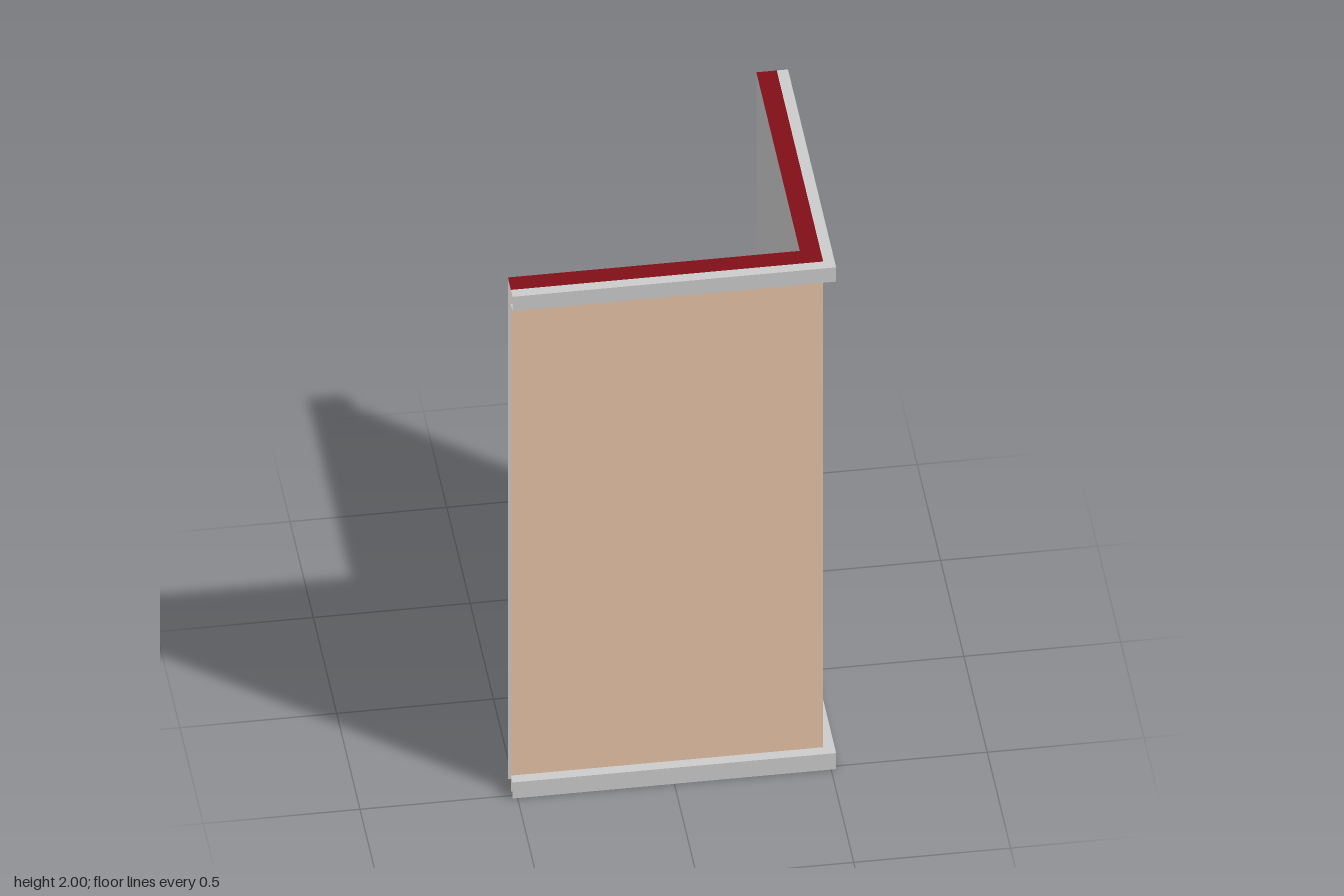
import * as THREE from 'three';

const END = 0.516;    // open ends of both wall legs, and outer face of the trim
const OUTER = 0.48;   // outer wall face
const INNER = 0.415;  // inner wall face
const TOP = 2;

// Sweeps a profile of [offset, height] points along the L-shaped plan.
// A profile running up faces outward; running inward faces up.
function sweepCorner(name, color, profile) {
  const plan = (d, y) => [[-END, y, d], [d, y, d], [d, y, -END]];
  const positions = [];
  for (let i = 0; i < profile.length - 1; i++) {
    const low = plan(...profile[i]);
    const high = plan(...profile[i + 1]);
    for (let leg = 0; leg < 2; leg++) {
      const [a, b, c, d] = [low[leg], low[leg + 1], high[leg + 1], high[leg]];
      positions.push(...a, ...b, ...c, ...a, ...c, ...d);
    }
  }
  const geometry = new THREE.BufferGeometry();
  geometry.setAttribute('position', new THREE.Float32BufferAttribute(positions, 3));
  geometry.computeVertexNormals();
  const material = new THREE.MeshStandardMaterial({ color, side: THREE.DoubleSide });
  const mesh = new THREE.Mesh(geometry, material);
  mesh.name = name;
  return mesh;
}

export function createModel() {
  const group = new THREE.Group();
  group.name = 'cornerWall';
  group.add(
    // Hollow wall: two skins closed only by the cap
    sweepCorner('outerWall', 0xe6c3a6, [[OUTER, 0], [OUTER, TOP]]),
    sweepCorner('innerWall', 0xcccccc, [[INNER, TOP], [INNER, 0]]),
    sweepCorner('wallCap', 0x800f17, [[OUTER, TOP], [INNER, TOP]]),
    // Cornice: underside, face and top ledge
    sweepCorner('topTrim', 0xcccccc,
      [[OUTER, 1.943], [END, 1.943], [END, TOP], [OUTER, TOP]]),
    // Skirting: face and top ledge, open underneath
    sweepCorner('bottomTrim', 0xcccccc, [[END, 0], [END, 0.064], [OUTER, 0.064]]),
  );
  return group;
}
